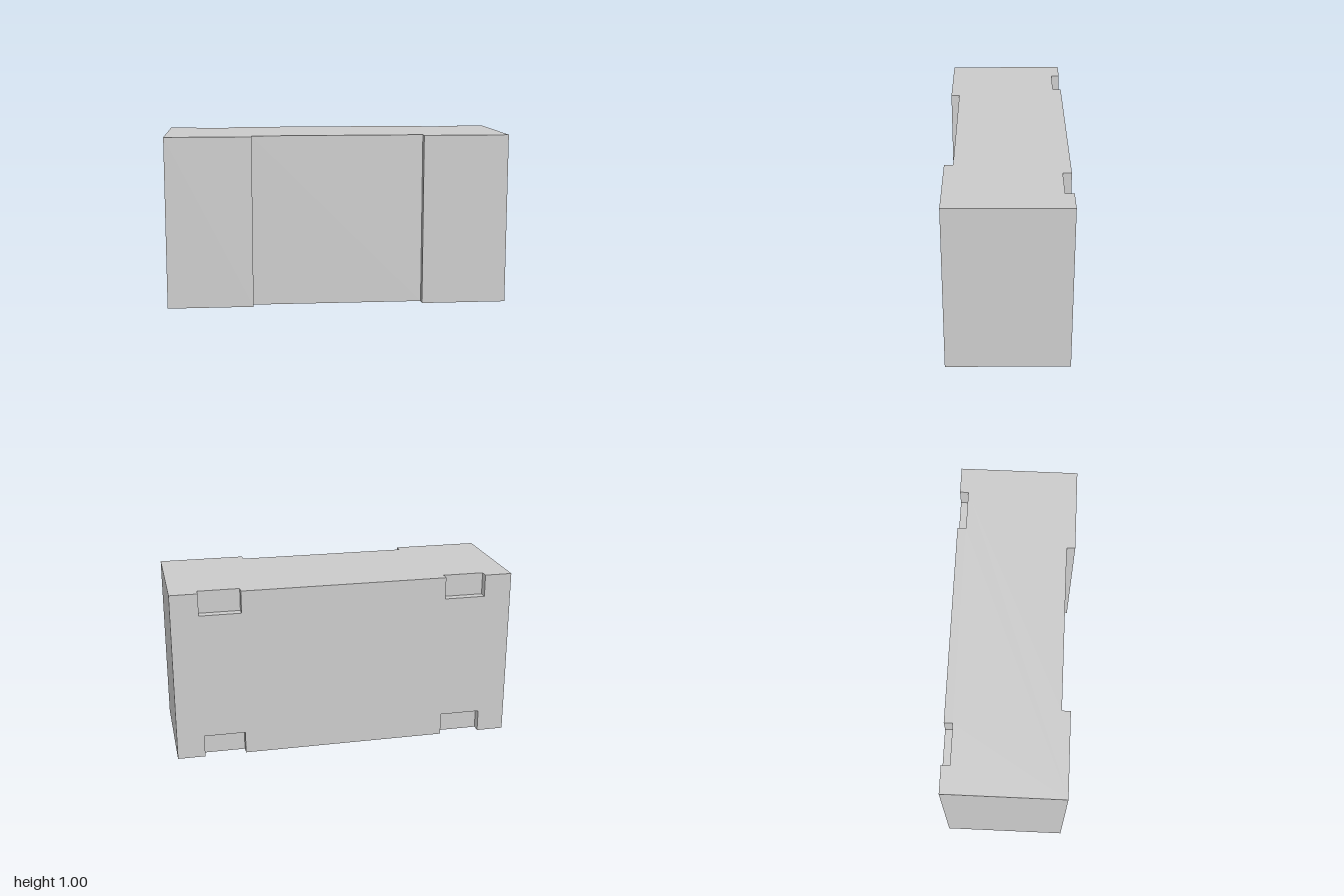
import * as THREE from 'three';
import { mergeGeometries } from 'three/addons/utils/BufferGeometryUtils.js';

const H = 1, Z = 0.35, IN = 0.3;            // height, half depth, recessed half depth
const N0 = 0.6, N1 = 0.84, NH = 0.13;       // notch inner x, outer x, height

const polygon = (pts) => new THREE.Shape(pts.map(([x, y]) => new THREE.Vector2(x, y)));

// Keep only the triangles whose centroid and normal pass the test
function filterFaces(geometry, keep) {
  const src = geometry.index ? geometry.toNonIndexed() : geometry;
  const p = src.attributes.position, out = [];
  const tri = new THREE.Triangle(), c = new THREE.Vector3(), n = new THREE.Vector3();
  for (let i = 0; i < p.count; i += 3) {
    tri.setFromAttributeAndIndices(p, i, i + 1, i + 2);
    tri.getMidpoint(c);
    tri.getNormal(n);
    if (keep(c, n)) for (const v of [tri.a, tri.b, tri.c]) out.push(v.x, v.y, v.z);
  }
  const g = new THREE.BufferGeometry();
  g.setAttribute('position', new THREE.Float32BufferAttribute(out, 3));
  return g;
}

export function createModel() {
  const group = new THREE.Group();
  const parts = [];

  // Shell: plan outline with front recess and rear notches, without its rear walls
  const plan = polygon([
    [-1, -Z], [-0.5, -Z], [-0.5, -IN], [0.5, -IN], [0.5, -Z], [1, -Z],
    [1, Z], [N1, Z], [N1, IN], [N0, IN], [N0, Z],
    [-N0, Z], [-N0, IN], [-N1, IN], [-N1, Z], [-1, Z],
  ]);
  const shell = new THREE.ExtrudeGeometry(plan, { depth: H, bevelEnabled: false });
  shell.rotateX(-Math.PI / 2);
  parts.push(filterFaces(shell, (c, n) =>
    Math.abs(n.y) > 0.5 || Math.abs(c.x) > 0.99 || c.z > -0.29));

  // Back face with its four cut-outs
  const back = new THREE.ShapeGeometry(polygon([
    [-1, 0], [-N1, 0], [-N1, NH], [-N0, NH], [-N0, 0],
    [N0, 0], [N0, NH], [N1, NH], [N1, 0], [1, 0],
    [1, H], [N1, H], [N1, H - NH], [N0, H - NH], [N0, H],
    [-N0, H], [-N0, H - NH], [-N1, H - NH], [-N1, H], [-1, H],
  ]));
  back.rotateY(Math.PI).translate(0, 0, -Z);
  parts.push(filterFaces(back, () => true));

  // Notch linings: inside-out boxes, open to the back and to the top or bottom
  for (const side of [-1, 1]) {
    for (const y of [NH / 2, H - NH / 2]) {
      const box = new THREE.BoxGeometry(N1 - N0, NH, Z - IN).scale(-1, 1, 1);
      box.translate(side * (N0 + N1) / 2, y, -(Z + IN) / 2);
      parts.push(filterFaces(box, (c) => c.z > -Z + 0.001 && c.y > 0.001 && c.y < H - 0.001));
    }
  }

  const geometry = mergeGeometries(parts);
  geometry.computeVertexNormals();
  const body = new THREE.Mesh(geometry,
    new THREE.MeshStandardMaterial({ color: 0xcccccc, flatShading: true }));
  body.name = 'notchedBlock';
  group.add(body);
  return group;
}
